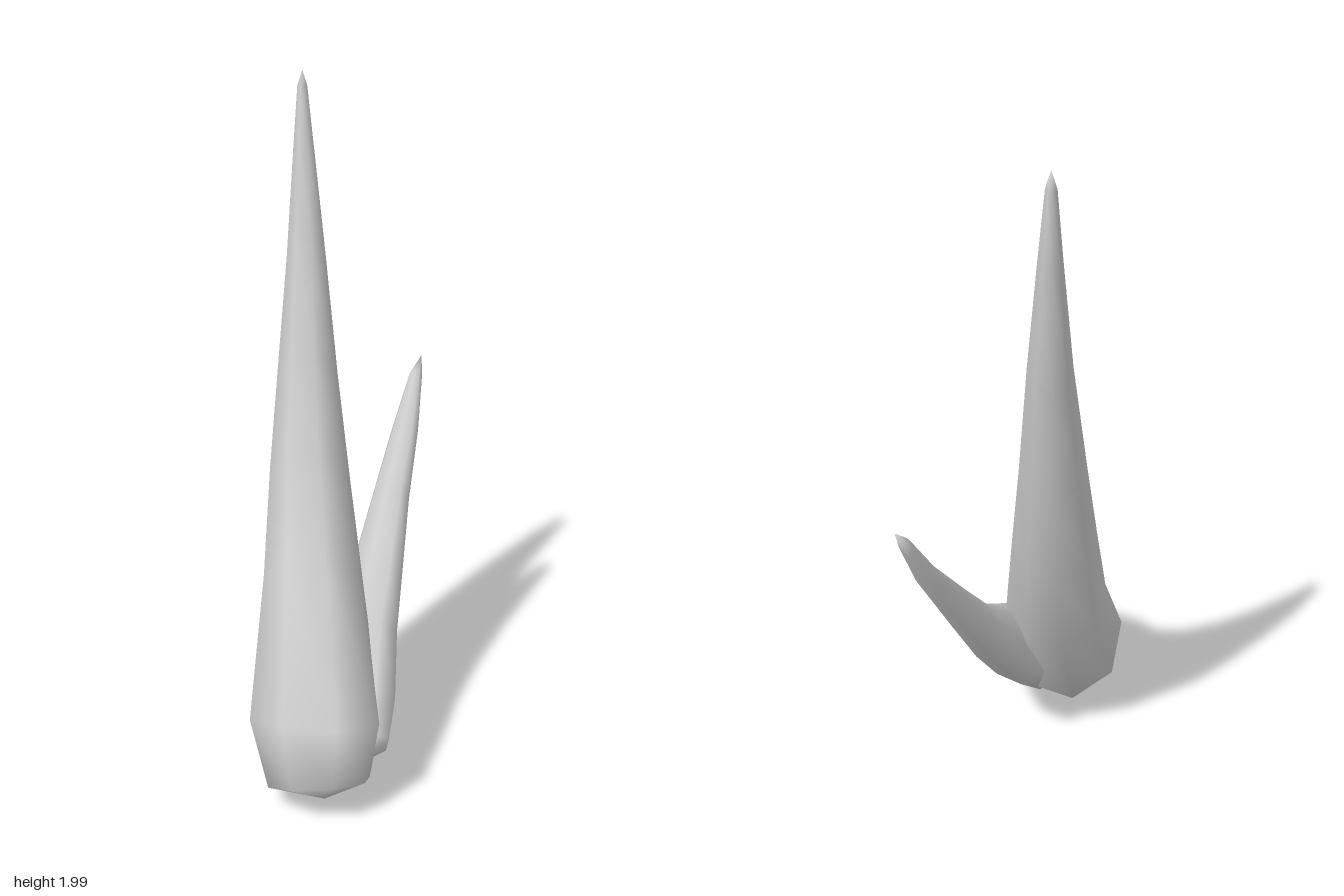
import * as THREE from 'three';

const SIDES = 8;

// Lofts oval rings between a rounded base point and a pointed tip.
// ring: [frontZ, frontY, backZ, backY, centreX, halfWidth]; skew slants the oval.
function horn(name, base, rings, tip, skew, material) {
  const centres = rings.map(([fz, fy, bz, by, x]) =>
    new THREE.Vector3(x, (fy + by) / 2, (fz + bz) / 2));
  const path = [new THREE.Vector3(...base), ...centres, new THREE.Vector3(...tip)];
  const pos = [...base];
  rings.forEach(([fz, fy, bz, by, , halfWidth], i) => {
    const along = path[i + 2].clone().sub(path[i]).normalize();
    const u = new THREE.Vector3(0, (fy - by) / 2, (fz - bz) / 2);
    const v = along.cross(u).normalize().multiplyScalar(halfWidth);
    for (let j = 0; j < SIDES; j++) {
      const a = (j / SIDES) * Math.PI * 2;
      const p = centres[i].clone()
        .addScaledVector(u, Math.cos(a))
        .addScaledVector(v, Math.sin(a + skew));
      pos.push(p.x, p.y, p.z);
    }
  });
  pos.push(...tip);

  const at = (i, j) => 1 + i * SIDES + (j % SIDES);
  const last = rings.length - 1;
  const end = 1 + rings.length * SIDES;
  const index = [];
  for (let j = 0; j < SIDES; j++) {
    index.push(0, at(0, j + 1), at(0, j));
    for (let i = 0; i < last; i++) {
      index.push(at(i, j), at(i, j + 1), at(i + 1, j));
      index.push(at(i, j + 1), at(i + 1, j + 1), at(i + 1, j));
    }
    index.push(at(last, j), at(last, j + 1), end);
  }
  const geometry = new THREE.BufferGeometry();
  geometry.setAttribute('position', new THREE.Float32BufferAttribute(pos, 3));
  geometry.setIndex(index);
  geometry.computeVertexNormals();
  const mesh = new THREE.Mesh(geometry, material);
  mesh.name = name;
  return mesh;
}

export function createModel() {
  const group = new THREE.Group();
  group.name = 'horns';
  const material = new THREE.MeshStandardMaterial({ color: 0xcccccc });

  // Tall main horn, sweeping back and curving upright
  group.add(horn('mainHorn', [-0.19, 0.05, 0.385], [
    [0.49, 0.15, 0.20, 0.01, -0.195, 0.15],
    [0.49, 0.33, 0.01, 0.13, -0.18, 0.195],
    [0.14, 0.68, -0.16, 0.45, -0.12, 0.15],
    [-0.04, 0.94, -0.27, 0.75, -0.093, 0.122],
    [-0.16, 1.20, -0.34, 1.04, -0.073, 0.093],
    [-0.28, 1.52, -0.41, 1.40, -0.05, 0.06],
    [-0.36, 1.80, -0.45, 1.74, -0.04, 0.032],
    [-0.40, 1.96, -0.445, 1.95, -0.038, 0.015],
  ], [-0.038, 2, -0.42], 0, material));

  // Short side horn, leaning out to the left and back
  group.add(horn('sideHorn', [-0.09, 0.14, 0.375], [
    [0.39, 0.25, 0.28, 0.08, -0.08, 0.09],
    [0.28, 0.33, 0.12, 0.09, -0.05, 0.115],
    [0.10, 0.45, -0.06, 0.25, 0.025, 0.1],
    [-0.05, 0.56, -0.18, 0.42, 0.105, 0.08],
    [-0.20, 0.725, -0.30, 0.625, 0.19, 0.058],
    [-0.34, 0.89, -0.41, 0.84, 0.278, 0.04],
    [-0.44, 1.04, -0.477, 1.0, 0.338, 0.02],
  ], [0.365, 1.075, -0.483], 0.35, material));

  return group;
}
